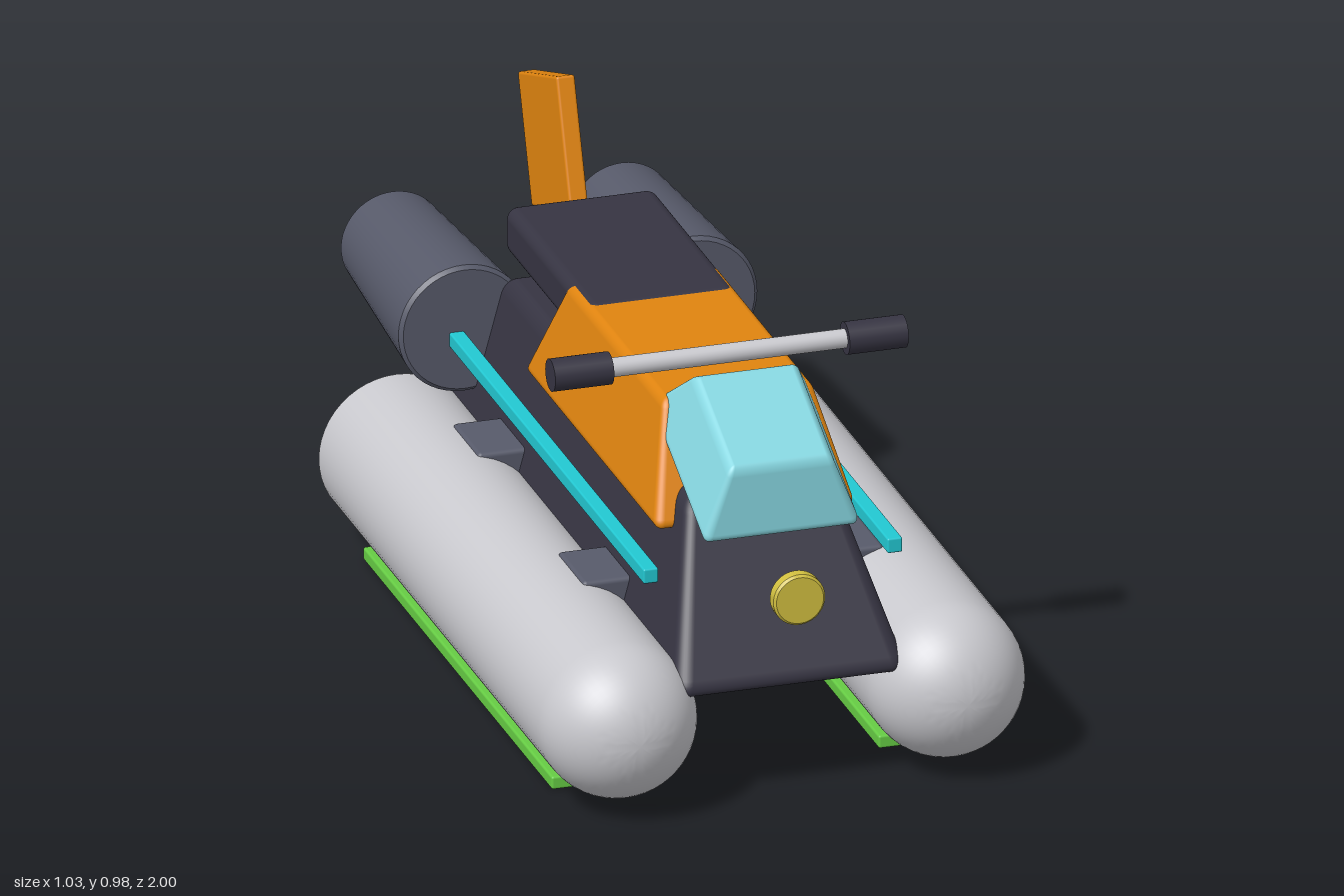
import * as THREE from 'three';
import { toCreasedNormals } from 'three/addons/utils/BufferGeometryUtils.js';
import { RoundedBoxGeometry } from 'three/addons/geometries/RoundedBoxGeometry.js';

function material(name, color) {
  const m = new THREE.MeshStandardMaterial({ color });
  m.name = name;
  return m;
}

// Rounded box whose top is scaled down to topW x topD, with matching normals
function taperedBox(w, h, d, topW, topD, r) {
  const geo = new RoundedBoxGeometry(w, h, d, 4, r);
  const p = geo.attributes.position, n = geo.attributes.normal;
  const ds = (topW / w - 1) / h, dt = (topD / d - 1) / h;
  const v = new THREE.Vector3();
  for (let i = 0; i < p.count; i++) {
    const x = p.getX(i), y = p.getY(i), z = p.getZ(i);
    const s = 1 + ds * (y + h / 2), t = 1 + dt * (y + h / 2);
    const nx = n.getX(i) / s, nz = n.getZ(i) / t;
    v.set(nx, n.getY(i) - x * ds * nx - z * dt * nz, nz).normalize();
    p.setXYZ(i, x * s, y, z * t);
    n.setXYZ(i, v.x, v.y, v.z);
  }
  return geo;
}

// Profile of [radius, z] points, from back to front, turned around the z axis
function turned(points, segments = 48) {
  const geo = new THREE.LatheGeometry(points.map(([r, z]) => new THREE.Vector2(r, z)), segments);
  return toCreasedNormals(geo.rotateX(Math.PI / 2), 0.6);
}

// Solid disc or drum with softened rims, along z
function drum(rBack, rFront, zBack, zFront, b) {
  return turned([[0, zBack], [rBack - b, zBack], [rBack, zBack + b],
    [rFront, zFront - b], [rFront - b, zFront], [0, zFront]]);
}

export function createModel() {
  const group = new THREE.Group();
  group.name = 'hoverBike';

  const silver = material('silver', 0xc9c9ce);
  const dark = material('darkHull', 0x363442);
  const slate = material('slateGrey', 0x575a6a);
  const orange = material('orange', 0xe0840f);
  const glass = material('paleBlueGlass', 0x86d6e0);
  const cyan = material('cyan', 0x22c8d2);
  const green = material('green', 0x66cc44);
  const pink = material('pinkGlow', 0xcc3d78);
  const yellow = material('yellow', 0xd2c040);

  function add(name, geo, mat, x = 0, y = 0, z = 0) {
    const mesh = new THREE.Mesh(geo, mat);
    mesh.name = name;
    mesh.position.set(x, y, z);
    group.add(mesh);
    return mesh;
  }

  // Central body
  add('hull', taperedBox(0.5, 0.35, 1.66, 0.31, 1.2, 0.035), dark, 0, 0.42, 0.105);
  add('upperBody', taperedBox(0.43, 0.235, 0.88, 0.315, 0.625, 0.02), orange, 0, 0.633, 0.243);
  add('seat', new RoundedBoxGeometry(0.32, 0.102, 0.56, 4, 0.025), dark, 0, 0.702, -0.21);

  // Windshield, tilted forward
  const shield = add('windshield', taperedBox(0.34, 0.145, 0.405, 0.215, 0.265, 0.018),
    glass, 0, 0.697, 0.698);
  shield.rotation.x = 0.43;

  // Tail fin, leaning back
  const fin = add('tailFin', new RoundedBoxGeometry(0.04, 0.274, 0.274, 2, 0.006),
    orange, 0, 0.804, -0.664);
  fin.rotation.x = -0.345;

  add('headlight', drum(0.055, 0.055, 0.937, 0.97, 0.005), yellow, 0, 0.455, 0);

  // Handlebar
  const bar = new THREE.CylinderGeometry(0.02, 0.02, 0.56, 24).rotateZ(Math.PI / 2);
  add('handlebar', bar, silver, 0, 0.803, 0.487);

  // Pontoon profile: flat back, straight tube, hemispherical nose
  const R = 0.165;
  const pontoonProfile = [[0, -0.625], [R - 0.01, -0.625], [R, -0.615]];
  for (let i = 0; i <= 16; i++) {
    const a = (i / 16) * Math.PI / 2;
    pontoonProfile.push([i === 16 ? 0 : R * Math.cos(a), 0.835 + R * Math.sin(a)]);
  }

  for (const [side, s] of [['left', 1], ['right', -1]]) {
    add(side + 'Pontoon', turned(pontoonProfile), silver, s * 0.348, 0.19, 0);
    add(side + 'Ski', new RoundedBoxGeometry(0.206, 0.028, 1.25, 2, 0.005), green, s * 0.347, 0.014, 0.105);
    add(side + 'Rail', new RoundedBoxGeometry(0.032, 0.032, 1.31, 2, 0.004), cyan, s * 0.259, 0.47, 0.137);

    // Engine and its glowing exhaust
    add(side + 'Engine', drum(0.11, 0.138, -0.975, -0.492, 0.008), slate, s * 0.243, 0.49, 0);
    add(side + 'Exhaust', drum(0.088, 0.088, -1, -0.96, 0.004), pink, s * 0.243, 0.49, 0);

    // Struts joining hull and pontoon
    for (const [place, z] of [['Front', 0.445], ['Rear', -0.25]]) {
      add(side + place + 'Strut', new RoundedBoxGeometry(0.2, 0.085, 0.172, 2, 0.01), slate, s * 0.22, 0.315, z);
    }

    // Handlebar grip
    const grip = new THREE.CylinderGeometry(0.034, 0.034, 0.125, 24).rotateZ(Math.PI / 2);
    add(side + 'Grip', grip, dark, s * 0.3125, 0.803, 0.487);
  }

  return group;
}
